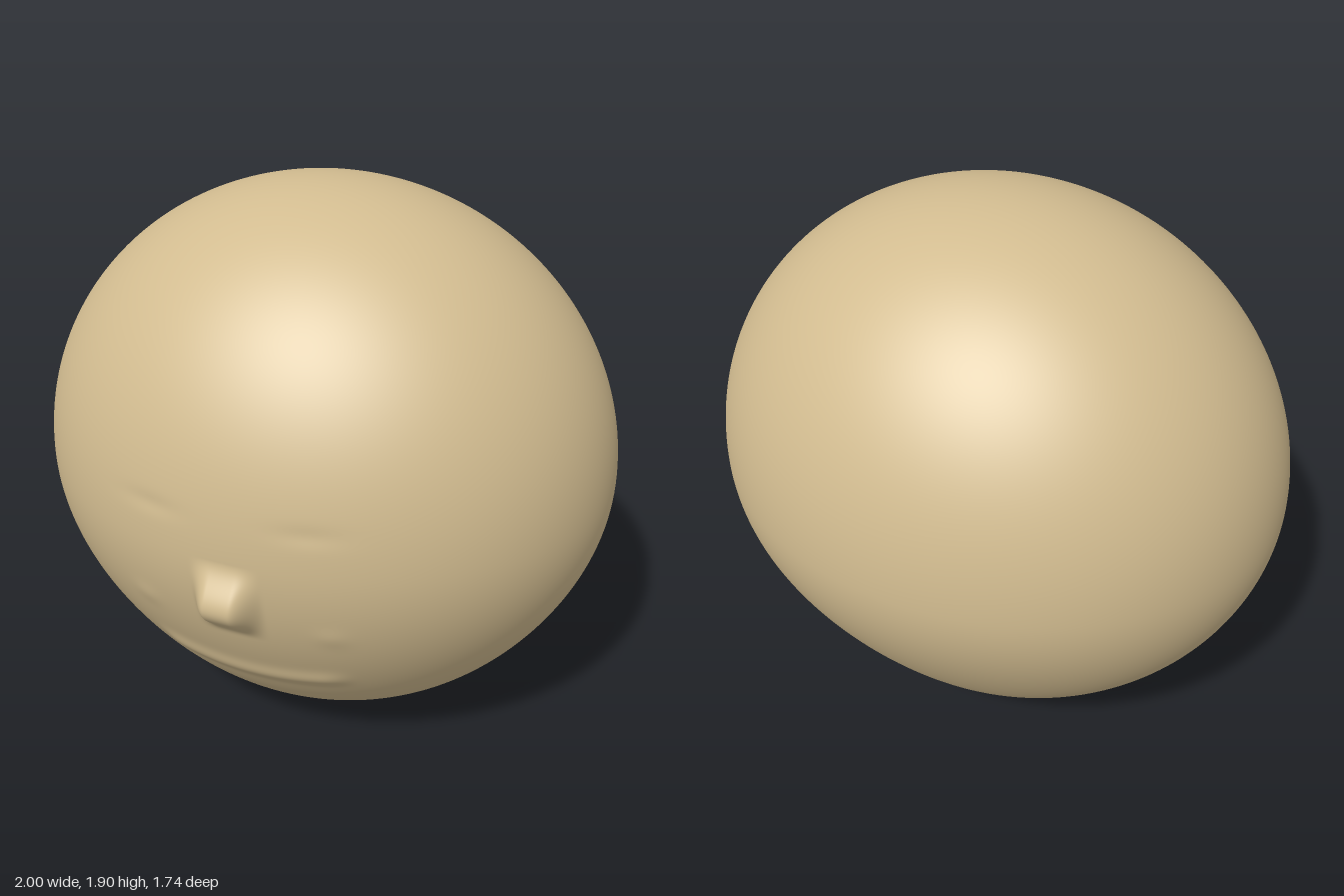
import * as THREE from 'three';

const smooth = THREE.MathUtils.smoothstep;
const RY = 0.948, RZ = 0.84, CZ = -0.03;

// Raised or sunken facial details, as a depth added along z
function faceRelief(x, y) {
  const ax = Math.abs(x);
  const gauss = (d, w) => Math.exp(-(d * d) / (w * w));
  // nose: flat-topped across, rounded from bridge to base
  const across = 1 - smooth(ax, 0.04, 0.125);
  const dy = (y - 0.795) / (y > 0.795 ? 0.155 : 0.145);
  const nose = Math.abs(dy) < 1 ? 0.078 * across * Math.cos(dy * Math.PI / 2) ** 2 : 0;
  // mouth ridge, slightly upturned at its ends
  const mouth = 0.013 * (1 - smooth(ax, 0.25, 0.37)) * gauss(y - 0.44 - 0.2 * x * x, 0.04);
  // faint eye creases and cheek folds
  const eyes = -0.004 * gauss(ax - 0.26, 0.1) * gauss(y - 1.08, 0.03);
  const cheeks = 0.004 * gauss(ax - 0.32, 0.05) * gauss(y - 0.7, 0.04);
  return nose + mouth + eyes + cheeks;
}

export function createModel() {
  const group = new THREE.Group();
  // Sphere with its pole facing forward, rings packed closer at the face
  const geo = new THREE.SphereGeometry(1, 224, 200);
  geo.rotateX(Math.PI / 2);
  const pos = geo.attributes.position;
  const nor = geo.attributes.normal;
  for (let i = 0; i < pos.count; i++) {
    const t = Math.acos(THREE.MathUtils.clamp(pos.getZ(i), -1, 1)) / Math.PI;
    const theta = Math.PI * (0.4 * t + 0.6 * t * t);
    const a = Math.atan2(pos.getY(i), pos.getX(i));
    const dx = Math.sin(theta) * Math.cos(a), dy = Math.sin(theta) * Math.sin(a), dz = Math.cos(theta);
    // taper the lower half, most at the back
    const taper = dy < 0 ? 4 * dy * dy * (1 - dy * dy) : 0;
    const x = dx * (1 - 0.03 * taper);
    const y = RY * (1 + dy);
    let z = CZ + RZ * dz * (1 - (dz < 0 ? 0.085 : 0.04) * taper);
    if (dz > 0) z += faceRelief(x, y) * smooth(dz, 0, 0.4);
    pos.setXYZ(i, x, y, z);
  }
  geo.computeVertexNormals();
  // Share normals across the seam and at both poles
  const sums = new Map();
  const key = i => [pos.getX(i), pos.getY(i), pos.getZ(i)].map(v => Math.round(v * 1e5)).join();
  for (let i = 0; i < pos.count; i++) {
    const k = key(i);
    if (!sums.has(k)) sums.set(k, new THREE.Vector3());
    sums.get(k).add(new THREE.Vector3().fromBufferAttribute(nor, i));
  }
  for (const n of sums.values()) n.normalize();
  for (let i = 0; i < pos.count; i++) {
    const n = sums.get(key(i));
    nor.setXYZ(i, n.x, n.y, n.z);
  }
  const head = new THREE.Mesh(geo, new THREE.MeshStandardMaterial({ color: 0xd2bc90 }));
  head.name = 'head';
  group.add(head);
  return group;
}
